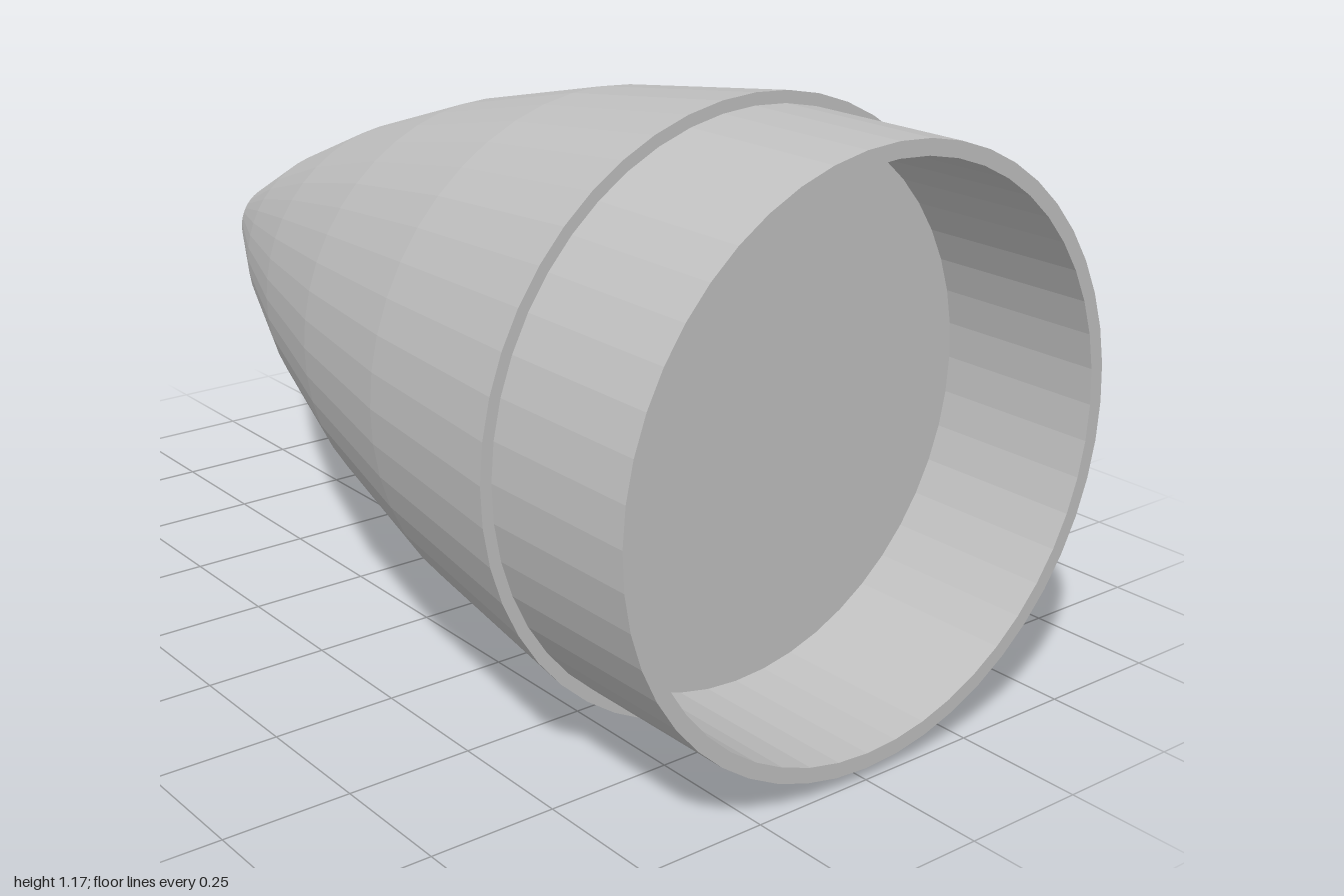
import * as THREE from 'three';

const SEGMENTS = 48;
const RADIUS = 0.583;

export function createModel() {
  const model = new THREE.Group();
  model.name = 'noseCone';
  const grey = new THREE.MeshStandardMaterial({ color: 0xc0c0c0 });
  grey.name = 'plain grey';

  // Revolves [x, radius] points about the long axis, with flat facets.
  function addRevolved(name, points) {
    const profile = points.map(([x, r]) => new THREE.Vector2(r, x));
    const geometry = new THREE.LatheGeometry(profile, SEGMENTS).toNonIndexed();
    geometry.rotateZ(-Math.PI / 2);
    geometry.computeVertexNormals();
    const mesh = new THREE.Mesh(geometry, grey);
    mesh.name = name;
    mesh.position.y = RADIUS;
    model.add(mesh);
  }

  // Blunt tip and curved shell, ending in a small step at the shoulder
  addRevolved('noseShell', [
    [-1, 0], [-1, 0.088], [-0.74, 0.219], [-0.46, 0.334], [-0.13, 0.441],
    [0.24, 0.526], [0.66, RADIUS], [0.66, 0.56],
  ]);

  // Hollow sleeve: outer wall, rim and inner wall
  addRevolved('sleeve', [[0.66, 0.56], [1, 0.56], [1, 0.531], [0.66, 0.531]]);

  // Flat wall closing the bottom of the sleeve
  addRevolved('bulkhead', [[0.66, 0.531], [0.66, 0]]);

  return model;
}
